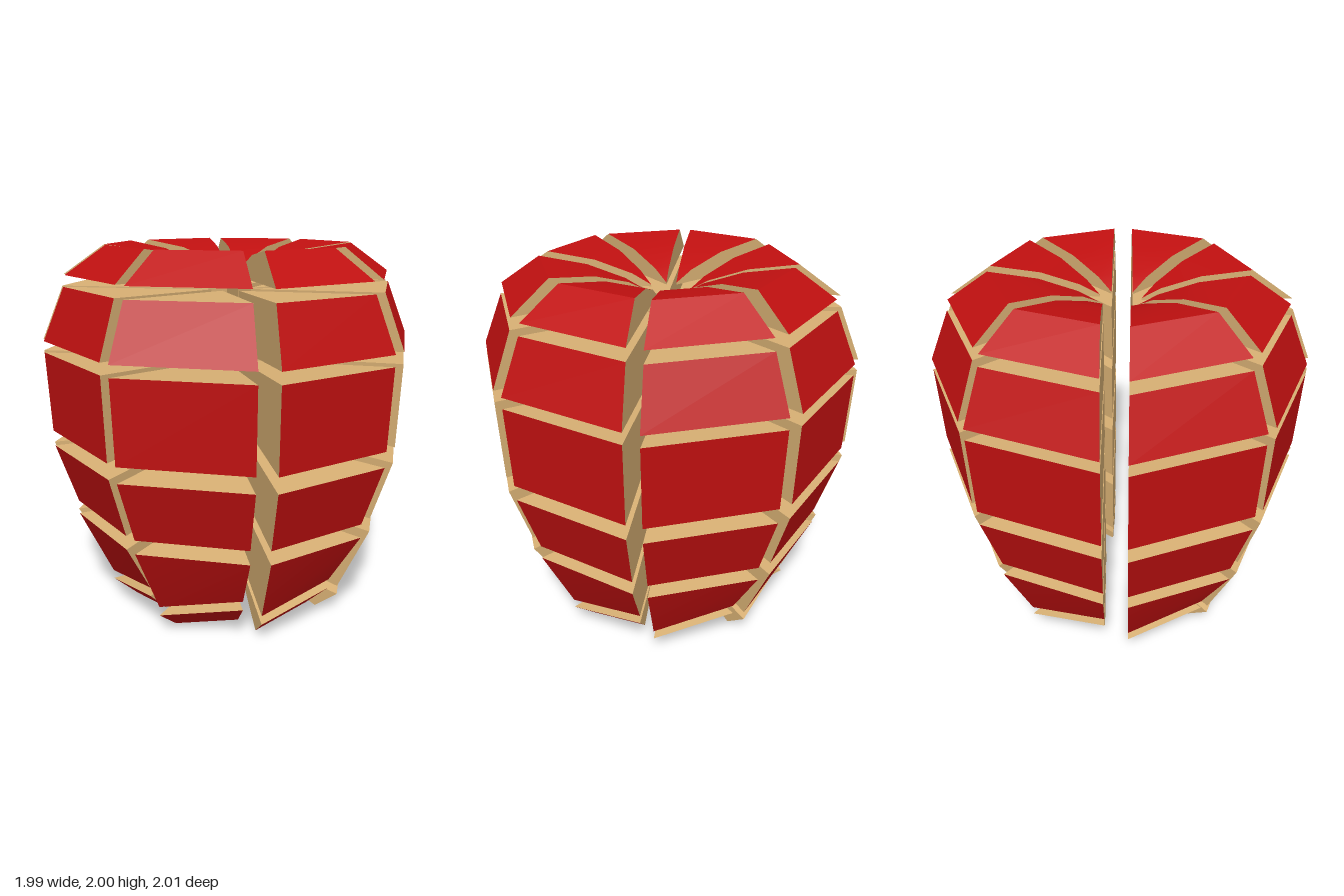
import * as THREE from 'three';
import { toCreasedNormals } from 'three/addons/utils/BufferGeometryUtils.js';

const skinMaterial = new THREE.MeshStandardMaterial({ color: 0xc01010 });
const fleshMaterial = new THREE.MeshStandardMaterial({ color: 0xd8b074 });

// Each layer is a closed [radius, height] outline, from the top of the axis outwards and back.
// Segments skin[0] to skin[1] are peel, the others are cut flesh.
// liftFrom marks the first outline point that is raised on one side of the wedge.
const layers = [
  { name: 'topSlice', skin: [0, 3], outline: [[0, 1.845], [0.1, 1.9], [0.3, 1.965], [0.555, 2], [0.77, 1.85], [0, 1.835]] },
  { name: 'shoulderSlice', skin: [1, 1], outline: [[0, 1.76], [0.78, 1.79], [0.895, 1.51], [0, 1.45]] },
  { name: 'upperSlice', skin: [1, 1], outline: [[0, 1.39], [0.895, 1.45], [0.875, 1.02], [0, 1.07]] },
  { name: 'lowerSlice', skin: [1, 1], outline: [[0, 0.99], [0.87, 0.935], [0.76, 0.605], [0, 0.67]] },
  { name: 'baseSlice', skin: [1, 1], liftFrom: 2, outline: [[0, 0.6], [0.76, 0.53], [0.585, 0.16], [0, 0.26]] },
  { name: 'bottomSlice', skin: [1, 4], liftFrom: 0, outline: [[0, 0.22], [0.585, 0.11], [0.45, 0], [0.3, 0.06], [0.12, 0.14], [0, 0.18]] },
];
const LIFT = 0.14; // rise per unit of radius on the first side of a wedge

// Outward shift [x, z] of each of the eight wedges
const shifts = [
  [0.09, 0.07], [0.015, 0.115], [-0.07, 0.095], [-0.11, 0.06],
  [-0.085, -0.08], [-0.03, -0.105], [0.06, -0.1], [0.095, -0.04],
];

function makeMesh(name, triangles, material) {
  const geometry = new THREE.BufferGeometry().setFromPoints(triangles.flat());
  const mesh = new THREE.Mesh(toCreasedNormals(geometry, 0.4), material);
  mesh.name = name;
  return mesh;
}

function makeSlice({ name, outline, skin, liftFrom = Infinity }, start, end) {
  const ring = (angle, lift) => outline.map(([r, y], i) => new THREE.Vector3(
    r * Math.cos(angle), y + (i >= liftFrom ? lift * r : 0), r * Math.sin(angle)));
  const a = ring(start, LIFT);
  const b = ring(end, 0);
  const peel = [];
  const flesh = [];

  // Surfaces between the two sides of the wedge
  for (let i = 0; i < outline.length - 1; i++) {
    const target = i >= skin[0] && i <= skin[1] ? peel : flesh;
    if (outline[i][0] > 0) target.push([a[i], b[i], b[i + 1]]);
    if (outline[i + 1][0] > 0) target.push([a[i], b[i + 1], a[i + 1]]);
  }

  // Flat cut sides
  const flat = outline.map(([r, y]) => new THREE.Vector2(r, y));
  for (const face of THREE.ShapeUtils.triangulateShape(flat, [])) {
    const ccw = THREE.ShapeUtils.area(face.map((i) => flat[i])) > 0;
    const [p, q, s] = ccw ? face : [face[0], face[2], face[1]];
    flesh.push([b[p], b[q], b[s]], [a[p], a[s], a[q]]);
  }

  const slice = new THREE.Group();
  slice.name = name;
  slice.add(makeMesh('skin', peel, skinMaterial), makeMesh('flesh', flesh, fleshMaterial));
  return slice;
}

export function createModel() {
  const apple = new THREE.Group();
  apple.name = 'slicedApple';
  shifts.forEach(([x, z], i) => {
    // Every second wedge is turned by about one degree
    const start = i * Math.PI / 4 + (i % 2) * 0.017;
    const wedge = new THREE.Group();
    wedge.name = 'wedge' + (i + 1);
    wedge.position.set(x, 0, z);
    for (const layer of layers) wedge.add(makeSlice(layer, start, start + Math.PI / 4));
    apple.add(wedge);
  });
  return apple;
}
